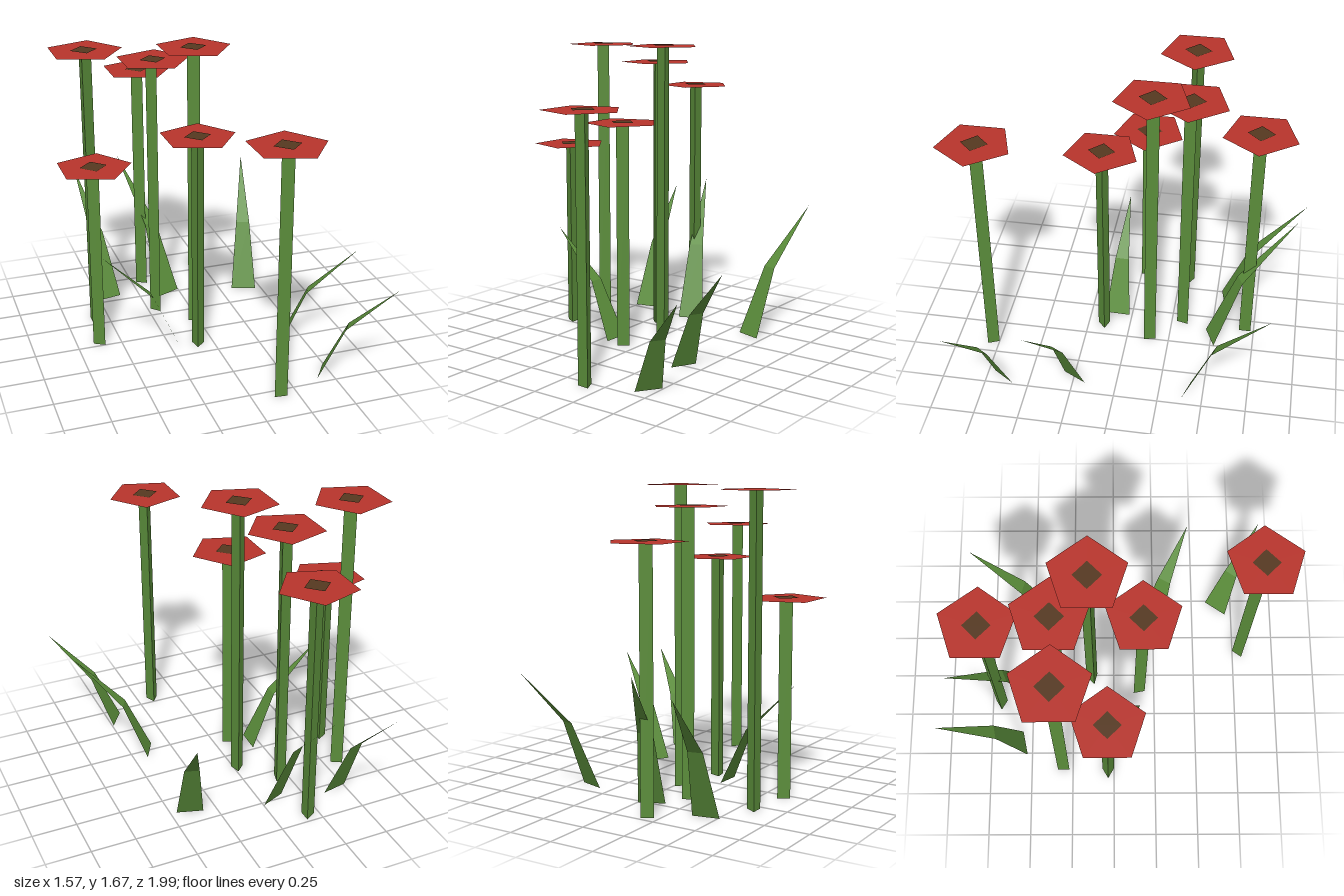
import * as THREE from 'three';

const deg = Math.PI / 180;

export function createModel() {
  const model = new THREE.Group();
  model.name = 'flowerPatch';

  const mat = (name, color, double) => {
    const m = new THREE.MeshStandardMaterial({ color });
    m.name = name;
    if (double) m.side = THREE.DoubleSide;
    return m;
  };
  const stemGreen = mat('green', 0x5a8c3a, true);
  const petalRed = mat('red', 0xb8342c, true);
  const seedBrown = mat('brown', 0x553820, true);

  const add = (parent, name, geometry, material) => {
    const mesh = new THREE.Mesh(geometry, material);
    mesh.name = name;
    parent.add(mesh);
    return mesh;
  };
  // Faceted normals
  const flat = (g) => {
    const f = g.index ? g.toNonIndexed() : g;
    f.computeVertexNormals();
    return f;
  };

  // Flowers: x, z, stem height, direction of one stem face (degrees from the front)
  const flowers = [
    [-0.617, -0.036, 1.08, -30],
    [-0.583, -0.307, 1.65, 30],
    [-0.195, -0.32, 1.56, 75],
    [-0.182, -0.697, 1.4, 90],
    [-0.09, 0.155, 1.26, 40],
    [-0.019, -0.132, 1.665, -15],
    [0.157, 0.79, 1.405, -6],
  ];
  const headGeo = new THREE.CircleGeometry(0.213, 5).rotateX(-Math.PI / 2);
  const centreGeo = new THREE.CircleGeometry(0.075, 4).rotateX(-Math.PI / 2);
  flowers.forEach(([x, z, h, face]) => {
    const flower = new THREE.Group();
    flower.name = 'flower';
    flower.position.set(x, 0, z);
    const stem = add(flower, 'stem', flat(new THREE.CylinderGeometry(0.04, 0.04, h, 3)), stemGreen);
    stem.position.y = h / 2;
    stem.rotation.y = (face - 60) * deg;
    add(flower, 'petals', headGeo, petalRed).position.y = h + 0.002;
    add(flower, 'flowerCentre', centreGeo, seedBrown).position.y = h + 0.007;
    model.add(flower);
  });

  // Leaf: flat blade with one fold, from a base centre to a pointed tip
  const leafGeometry = (bx, bz, tx, ty, tz) => {
    const dx = tx - bx, dz = tz - bz, len = Math.hypot(dx, dz);
    const sx = -dz / len, sz = dx / len; // sideways direction
    const at = (f, y, half) => [bx + dx * f + sx * half, y, bz + dz * f + sz * half];
    const b0 = at(0, 0, -0.074), b1 = at(0, 0, 0.074);
    const m0 = at(0.34, ty * 0.54, -0.041), m1 = at(0.34, ty * 0.54, 0.041);
    const tip = [tx, ty, tz];
    // Wound so the front side faces up and back over the base
    const corners = [b0, m1, b1, b0, m0, m1, m0, tip, m1];
    const g = new THREE.BufferGeometry();
    g.setAttribute('position', new THREE.Float32BufferAttribute(corners.flat(), 3));
    g.computeVertexNormals();
    return g;
  };

  // Leaves: base x, base z, tip x, tip y, tip z
  const leaves = [
    [-0.436, -0.544, -0.527, 0.7, -0.995],
    [-0.07, -0.493, -0.262, 0.777, -0.946],
    [0.395, -0.401, 0.532, 0.712, -0.846],
    [0.386, 0.246, 0.748, 0.6, 0.443],
    [0.45, 0.65, 0.782, 0.56, 0.878],
    [-0.195, 0.09, -0.62, 0.595, 0.075],
  ];
  leaves.forEach((l) => add(model, 'leaf', leafGeometry(...l), stemGreen));

  return model;
}
